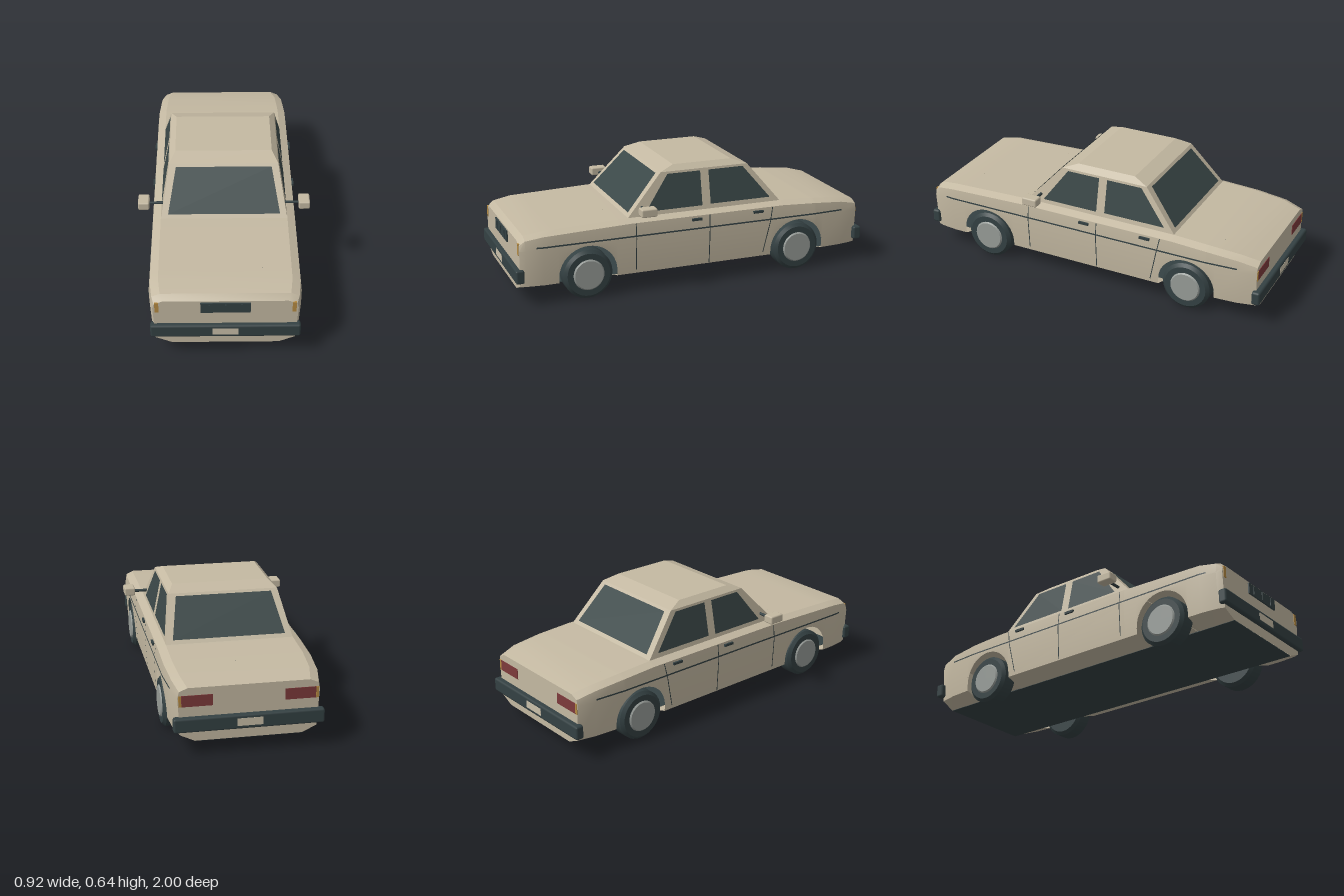
import * as THREE from 'three';
import { toCreasedNormals } from 'three/addons/utils/BufferGeometryUtils.js';
import { RoundedBoxGeometry } from 'three/addons/geometries/RoundedBoxGeometry.js';

const mat = (name, color, side = THREE.FrontSide) =>
  Object.assign(new THREE.MeshStandardMaterial({ color, side }), { name });

// Body stations: z, half width, top height
const KEYS = [
  [0.975, 0.364, 0.345], [0.945, 0.376, 0.37], [0.85, 0.387, 0.385], [0.38, 0.387, 0.4],
  [-0.5, 0.387, 0.4], [-0.7, 0.387, 0.39], [-0.87, 0.376, 0.375], [-0.97, 0.355, 0.35],
];
const WHEELS = [0.615, -0.59], ARCH_R = 0.158, ARCH_Y = 0.135;
const lerp = THREE.MathUtils.lerp;

// Half cross-section at z, from floor edge up to bonnet edge
function halfSection(z) {
  let i = 0;
  while (i < KEYS.length - 2 && z < KEYS[i + 1][0]) i++;
  const [a, b] = [KEYS[i], KEYS[i + 1]], t = (z - a[0]) / (b[0] - a[0]);
  const w = lerp(a[1], b[1], t), top = lerp(a[2], b[2], t);
  return [[0.27, 0.07], [w - 0.012, 0.105], [w, 0.3], [w - 0.008, top - 0.018], [w - 0.05, top]];
}

function sideX(z, y) {
  const p = halfSection(z);
  const i = y < 0.3 ? 1 : 2;
  return lerp(p[i][0], p[i + 1][0], (y - p[i][1]) / (p[i + 1][1] - p[i][1]));
}

// Full ring at z; the lower side is lifted to the wheel arch height
function ring(z, arch) {
  const half = halfSection(z).map(([x, y]) => (y < arch ? [sideX(z, arch), arch] : [x, y]));
  const left = half.map(([x, y]) => new THREE.Vector3(x, y, z));
  return [...left, ...left.map((p) => new THREE.Vector3(-p.x, p.y, z)).reverse()];
}

function fromTriangles(tris) {
  const solid = tris.filter((t) => new THREE.Triangle(...t).getArea() > 1e-8);
  const g = new THREE.BufferGeometry().setFromPoints(solid.flat());
  g.computeVertexNormals();
  return g;
}
const fan = (p) => p.slice(2).map((_, i) => [p[0], p[i + 1], p[i + 2]]);

function bodyGeometry() {
  const stations = KEYS.map((k) => [k[0], 0]);
  for (const s of stations) {
    for (const c of WHEELS) {
      const d = Math.abs(s[0] - c);
      if (d < ARCH_R) s[1] = ARCH_Y + Math.sqrt(ARCH_R ** 2 - d * d);
    }
  }
  for (const c of WHEELS) {
    stations.push([c + ARCH_R + 1e-5, 0], [c - ARCH_R - 1e-5, 0]);
    for (let i = 0; i <= 20; i++) {
      const t = (i / 20) * Math.PI;
      stations.push([c + ARCH_R * Math.cos(t), ARCH_Y + ARCH_R * Math.sin(t)]);
    }
  }
  stations.sort((a, b) => b[0] - a[0]);
  const rings = stations.map(([z, h]) => ring(z, h));
  const tris = [...fan(rings[0]), ...fan([...rings.at(-1)].reverse())];
  for (let i = 0; i < rings.length - 1; i++) {
    if (stations[i][0] - stations[i + 1][0] < 1e-4) continue;
    for (let j = 0; j < 9; j++) {
      const [a, b, c, d] = [rings[i][j], rings[i][j + 1], rings[i + 1][j + 1], rings[i + 1][j]];
      tris.push([a, d, c], [a, c, b]);
    }
  }
  return toCreasedNormals(fromTriangles(tris), 0.35);
}

// Cabin levels: y, half width, front z, rear z
const CABIN = [[0.39, 0.338, 0.39, -0.507], [0.617, 0.292, 0.182, -0.318], [0.645, 0.26, 0.1, -0.235]];
const cabinAt = (y, k) => lerp(CABIN[0][k], CABIN[1][k], (y - 0.39) / 0.227);

function cabinGeometry() {
  const rings = CABIN.map(([y, x, f, r]) =>
    [[x, f], [x, r], [-x, r], [-x, f]].map(([px, pz]) => new THREE.Vector3(px, y, pz)));
  const tris = fan(rings[2]);
  for (let i = 0; i < 2; i++) {
    for (let j = 0; j < 4; j++) {
      const k = (j + 1) % 4;
      tris.push(...fan([rings[i][j], rings[i][k], rings[i + 1][k], rings[i + 1][j]]));
    }
  }
  return fromTriangles(tris);
}

export function createModel() {
  const car = new THREE.Group();
  car.name = 'car';
  const paint = mat('body paint', 0xc4b9a2, THREE.DoubleSide);
  const glass = mat('dark glass', 0x3b4848, THREE.DoubleSide);
  const trim = mat('black trim', 0x344143, THREE.DoubleSide);
  const metal = mat('hub metal', 0x979c98);
  const amber = mat('amber lamp', 0xb58a42);
  const red = mat('red lamp', 0x7d3a3b);
  const plateMat = mat('number plate', 0xcac0aa);

  const add = (name, geometry, material, x = 0, y = 0, z = 0) => {
    const m = new THREE.Mesh(geometry, material);
    m.name = name;
    m.position.set(x, y, z);
    car.add(m);
    return m;
  };
  const box = (name, material, w, h, d, x, y, z) =>
    add(name, new THREE.BoxGeometry(w, h, d), material, x, y, z);
  // Flat face, turned so that it points along the given direction
  const face = (name, material, pts, out) => {
    const v = pts.map((p) => new THREE.Vector3(...p));
    const n = new THREE.Triangle(v[0], v[1], v[2]).getNormal(new THREE.Vector3());
    if (n.dot(out) < 0) v.reverse();
    add(name, fromTriangles(fan(v)), material);
  };
  // Narrow line on the body side along [z, y] points
  const line = (name, s, path, dz, dy) => {
    const at = (z, y) => [s * (sideX(z, y) + 0.002), y, z];
    for (let i = 0; i < path.length - 1; i++) {
      const [[z0, y0], [z1, y1]] = [path[i], path[i + 1]];
      face(name, trim, [at(z0 - dz, y0 - dy), at(z1 - dz, y1 - dy), at(z1 + dz, y1 + dy), at(z0 + dz, y0 + dy)],
        new THREE.Vector3(s, 0, 0));
    }
  };

  // Shell and floor
  add('body', bodyGeometry(), paint);
  add('cabin', cabinGeometry(), paint);
  box('floor', trim, 0.54, 0.004, 1.94, 0, 0.07, 0.0025);

  // Windscreen and rear window
  for (const [name, k, s] of [['windscreen', 2, 1], ['rearWindow', 3, -1]]) {
    const at = (x, y) => [x, y + 0.002, cabinAt(y, k) + s * 0.003];
    face(name, glass, [at(-0.298, 0.417), at(0.298, 0.417), at(0.256, 0.604), at(-0.256, 0.604)],
      new THREE.Vector3(0, 0, s));
  }

  const tyre = toCreasedNormals(new THREE.LatheGeometry(
    [[0, -0.052], [0.116, -0.052], [0.133, -0.036], [0.133, 0.036], [0.116, 0.052], [0, 0.052]]
      .map((p) => new THREE.Vector2(...p)), 32), 0.6);
  const hub = new THREE.CylinderGeometry(0.077, 0.087, 0.01, 32);

  for (const s of [1, -1]) {
    // Side windows
    const out = new THREE.Vector3(s, 0, 0);
    const at = ([z, y]) => [s * (cabinAt(y, 1) + 0.003), y, z];
    face('frontSideWindow', glass, [[0.28, 0.422], [0.145, 0.606], [-0.042, 0.606], [-0.042, 0.422]].map(at), out);
    face('rearSideWindow', glass, [[-0.09, 0.425], [-0.09, 0.606], [-0.29, 0.606], [-0.44, 0.425]].map(at), out);

    // Waist line, door gaps and handles
    line('waistLine', s, [[0.89, 0.313], [0.85, 0.313], [-0.7, 0.313], [-0.87, 0.313]], 0, 0.004);
    line('frontDoorGap', s, [[0.352, 0.38], [0.352, 0.3], [0.352, 0.125]], 0.0025, 0);
    line('middleDoorGap', s, [[-0.065, 0.38], [-0.065, 0.3], [-0.065, 0.11]], 0.0025, 0);
    line('rearDoorGap', s, [[-0.437, 0.38], [-0.422, 0.3], [-0.385, 0.125]], 0.0025, 0);
    for (const z of [0.009, -0.35]) box('doorHandle', trim, 0.014, 0.013, 0.058, s * 0.384, 0.364, z);

    // Door mirror
    const arm = add('mirrorArm', new THREE.CylinderGeometry(0.008, 0.008, 0.1, 10), trim, s * 0.36, 0.446, 0.3);
    arm.rotation.z = Math.PI / 2;
    add('mirror', new RoundedBoxGeometry(0.06, 0.045, 0.088, 1, 0.008), paint, s * 0.428, 0.452, 0.302);

    // Wheels
    for (const z of WHEELS) {
      add('tyre', tyre, trim, s * 0.333, 0.133, z).rotation.z = -s * Math.PI / 2;
      add('hubCap', hub, metal, s * 0.387, 0.133, z).rotation.z = -s * Math.PI / 2;
    }

    // Lamps
    box('frontIndicator', amber, 0.02, 0.062, 0.008, s * 0.343, 0.306, 0.974);
    box('rearLamp', red, 0.155, 0.058, 0.008, s * 0.258, 0.282, -0.969);
    box('rearIndicator', amber, 0.014, 0.058, 0.008, s * 0.343, 0.282, -0.969);

    // Bumper and plate at each end
    add('bumper', new RoundedBoxGeometry(0.756, 0.075, 0.046, 1, 0.011), trim, 0, 0.163, s * 0.976);
    box('numberPlate', plateMat, 0.13, 0.04, 0.006, 0, 0.164, s * 0.997);
  }

  // Grille with upright bars
  box('grille', trim, 0.25, 0.06, 0.012, 0, 0.306, 0.977);
  for (const x of [-0.081, 0, 0.081]) box('grilleBar', trim, 0.008, 0.046, 0.006, x, 0.306, 0.984);
  return car;
}
